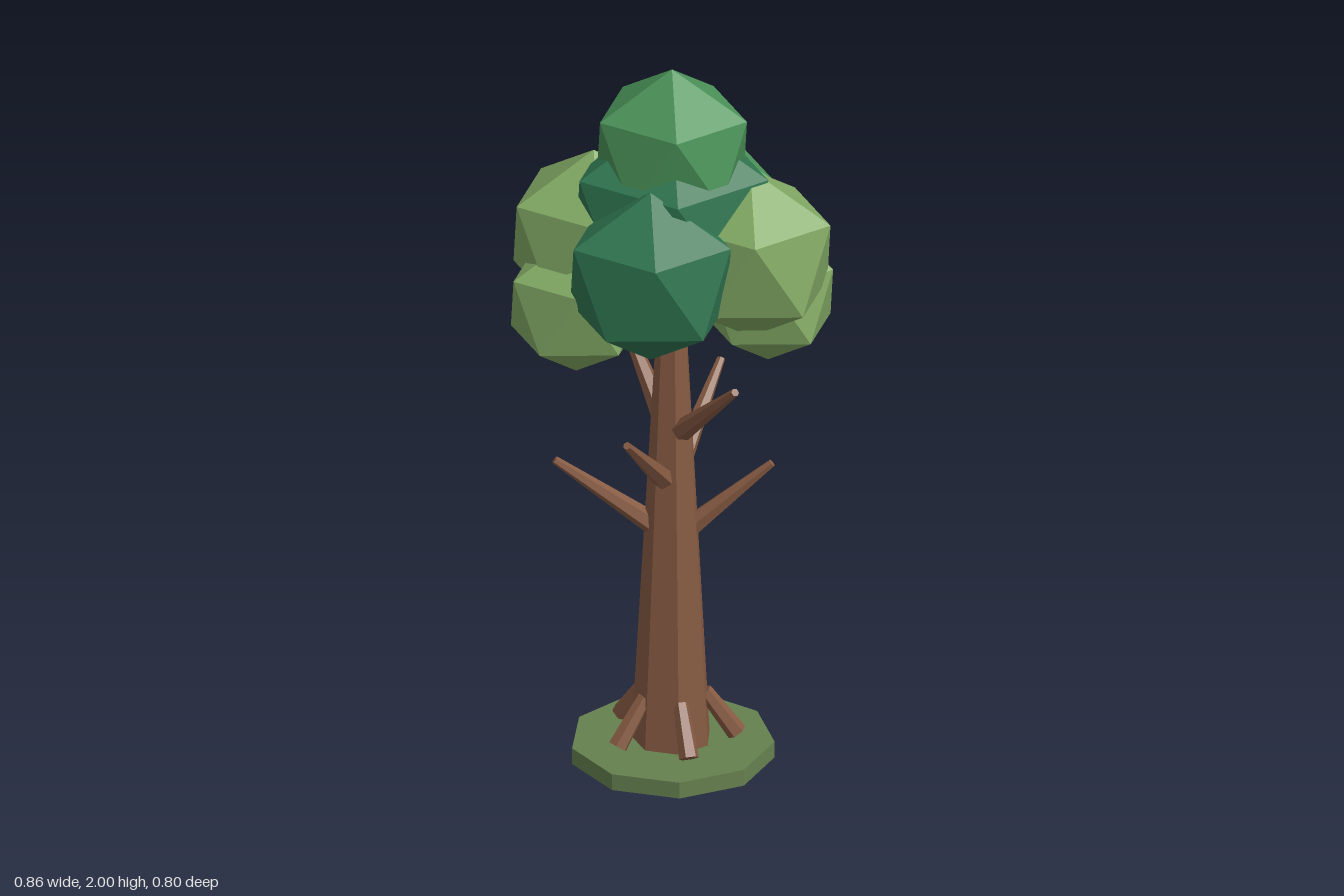
import * as THREE from 'three';

export function createModel() {
  const tree = new THREE.Group();
  const mat = (name, color) => {
    const m = new THREE.MeshStandardMaterial({ color });
    m.name = name;
    return m;
  };
  const bark = mat('bark brown', 0x865a42);
  const moss = mat('moss green', 0x66804f);
  const deep = mat('deep green', 0x2f7550);
  const mid = mat('mid green', 0x4b9358);
  const olive = mat('light olive', 0x82a964);

  const add = (name, geometry, material) => {
    const flat = geometry.index ? geometry.toNonIndexed() : geometry;
    flat.computeVertexNormals();
    const mesh = new THREE.Mesh(flat, material);
    mesh.name = name;
    tree.add(mesh);
    return mesh;
  };

  // Tapered stick between two points
  const stick = (name, from, to, r0, r1, sides) => {
    const dir = to.clone().sub(from);
    const mesh = add(name, new THREE.CylinderGeometry(r1, r0, dir.length(), sides), bark);
    mesh.position.copy(from).add(to).multiplyScalar(0.5);
    mesh.quaternion.setFromUnitVectors(new THREE.Vector3(0, 1, 0), dir.normalize());
  };
  // Point at a radius and an angle (degrees from +x towards +z)
  const polar = (radius, degrees, y) => {
    const a = THREE.MathUtils.degToRad(degrees);
    return new THREE.Vector3(radius * Math.cos(a), y, radius * Math.sin(a));
  };

  // Nine-sided ground slab and seven-sided trunk, each with a corner at the back
  add('groundSlab', new THREE.CylinderGeometry(0.27, 0.27, 0.046, 9)
    .rotateY(Math.PI).translate(0, 0.023, 0), moss);
  add('trunk', new THREE.CylinderGeometry(0.036, 0.107, 1.3, 7)
    .rotateY(Math.PI).translate(0, 0.69, 0), bark);

  // Five roots
  for (let i = 0; i < 5; i++) {
    const angle = -13 + i * 72;
    stick('root', polar(0.17, angle, 0.065), polar(0.085, angle, 0.185), 0.027, 0.02, 6);
  }

  // Six branches spiralling round the trunk: angle, tip radius, tip height, base height
  [
    [-15, 0.262, 0.85, 0.665],
    [42, 0.31, 1.185, 0.965],
    [101, 0.262, 1.015, 0.825],
    [167, 0.308, 0.85, 0.67],
    [223, 0.265, 1.185, 0.97],
    [279, 0.308, 1.015, 0.82],
  ].forEach(([angle, radius, tipY, baseY]) =>
    stick('branch', polar(0.05, angle, baseY), polar(radius, angle, tipY), 0.03, 0.011, 6));

  // Leaf clumps: icosahedra standing on a corner, slightly narrow in depth
  const tilt = -Math.atan(2 / (1 + Math.sqrt(5)));
  const clump = (name, r, x, y, z, material) =>
    add(name, new THREE.IcosahedronGeometry(r, 0).rotateZ(tilt).scale(1, 1, 0.92)
      .translate(x, y, z), material);
  clump('crownTop', 0.228, 0, 1.772, 0, mid);
  clump('crownCore', 0.293, 0, 1.58, 0, deep);
  clump('crownFront', 0.244, 0, 1.494, 0.207, deep);
  clump('crownBack', 0.244, 0, 1.494, -0.21, mid);
  for (const s of [1, -1]) {
    clump('crownSide', 0.244, s * 0.213, 1.492, 0, olive);
    clump('crownLower', 0.198, s * 0.233, 1.333, s * -0.1, olive);
  }
  return tree;
}
